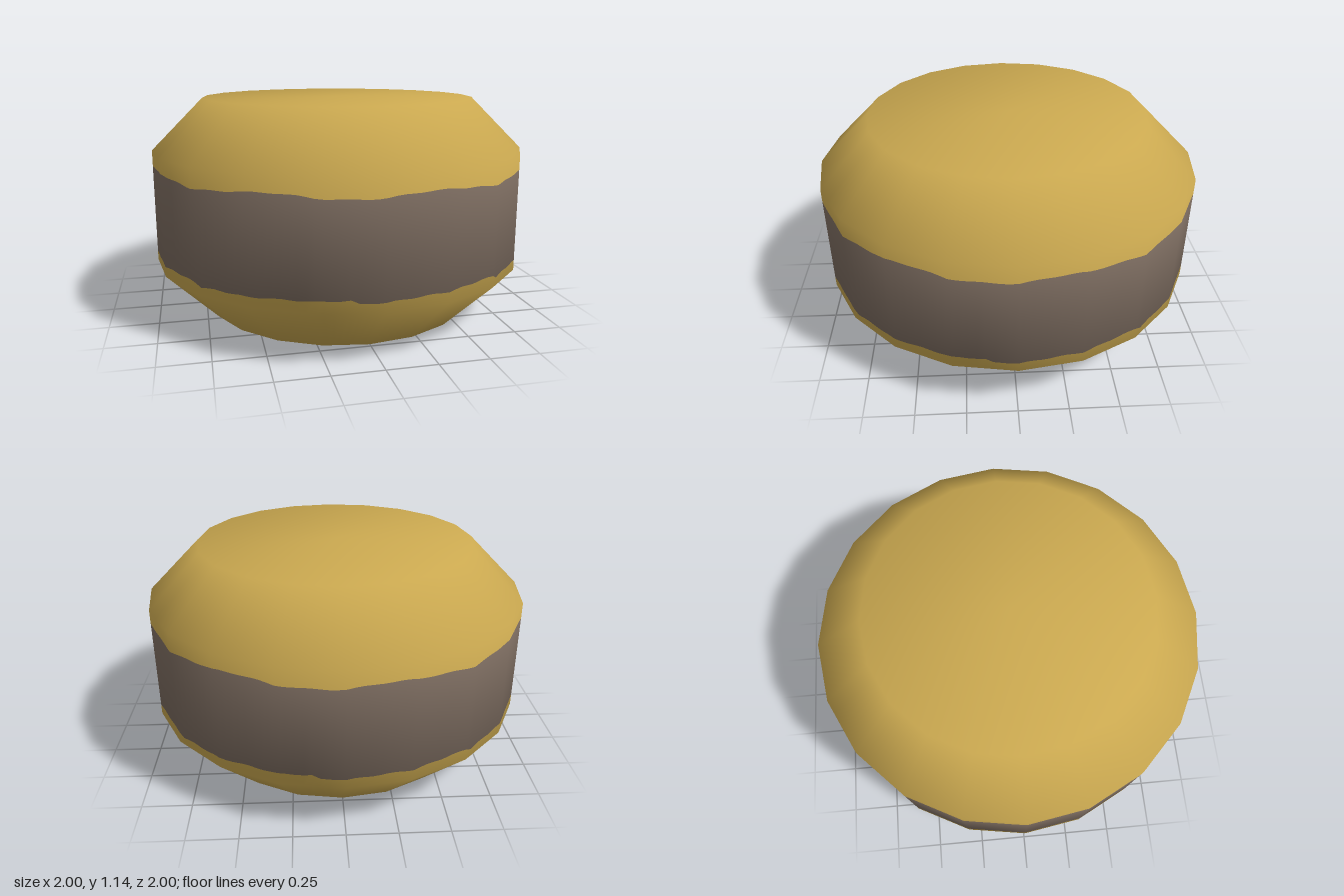
import * as THREE from 'three';

const SIDES = 20, SUB = 8, STEPS = SIDES * SUB;
const TILT = Math.PI / 8; // smooth normal tilt at chamfer edges
const Y0 = 0.27, Y1 = 0.87, HEIGHT = 1.14, RIM = 0.73;

// unit 20-sided outline, with corners on the axes
function outline(i) {
  const t = i / SUB, k = Math.floor(t), f = t - k;
  const a = (k * 2 * Math.PI) / SIDES, b = ((k + 1) * 2 * Math.PI) / SIDES;
  return [
    THREE.MathUtils.lerp(Math.sin(a), Math.sin(b), f),
    THREE.MathUtils.lerp(Math.cos(a), Math.cos(b), f),
  ];
}

// a row gives radius, height and normal tilt at an angle
const ring = (r, y, tilt) => () => ({ r, y, tilt });
const wallRow = (edge) => (angle) => {
  const y = edge(angle);
  return { r: 1, y, tilt: THREE.MathUtils.mapLinear(y, Y0, Y1, -TILT, TILT) };
};

// smooth surface through rows listed from bottom to top
function loft(name, rows, material) {
  const position = [], normal = [], index = [];
  for (const row of rows) {
    for (let i = 0; i <= STEPS; i++) {
      const [x, z] = outline(i);
      const { r, y, tilt } = row((i / STEPS) * 2 * Math.PI);
      const n = new THREE.Vector3(x * Math.cos(tilt), Math.sin(tilt), z * Math.cos(tilt)).normalize();
      position.push(x * r, y, z * r);
      normal.push(n.x, n.y, n.z);
    }
  }
  for (let j = 0; j < rows.length - 1; j++) {
    for (let i = 0; i < STEPS; i++) {
      const a = j * (STEPS + 1) + i, b = a + 1, c = a + STEPS + 1, d = c + 1;
      index.push(a, b, d, a, d, c);
    }
  }
  const geometry = new THREE.BufferGeometry();
  geometry.setAttribute('position', new THREE.Float32BufferAttribute(position, 3));
  geometry.setAttribute('normal', new THREE.Float32BufferAttribute(normal, 3));
  geometry.setIndex(index);
  const mesh = new THREE.Mesh(geometry, material);
  mesh.name = name;
  return mesh;
}

export function createModel() {
  const gold = new THREE.MeshStandardMaterial({ name: 'gold crust', color: 0xcba950 });
  const brown = new THREE.MeshStandardMaterial({ name: 'brown filling', color: 0x7b6b5f });

  // uneven edges of the filling: a soft wave above, a ragged sawtooth below
  const upperEdge = wallRow((a) => 0.787 + 0.011 * Math.cos(8 * (a - 0.25)) + 0.003 * Math.sin(28 * a));
  const lowerEdge = wallRow((a) => {
    const t = ((a + 0.14) * 4) / Math.PI;
    return 0.308 + 0.022 * Math.sqrt(t - Math.floor(t)) + 0.003 * Math.sin(36 * a);
  });

  const half = Math.PI / 2;
  const group = new THREE.Group();
  group.name = 'filledBiscuit';
  group.add(
    loft('lowerCrust', [ring(0, 0, -half), ring(RIM, 0, -3 * TILT), ring(1, Y0, -TILT), lowerEdge], gold),
    loft('fillingBand', [lowerEdge, upperEdge], brown),
    loft('upperCrust', [upperEdge, ring(1, Y1, TILT), ring(RIM, HEIGHT, 3 * TILT), ring(0, HEIGHT, half)], gold),
  );
  return group;
}
